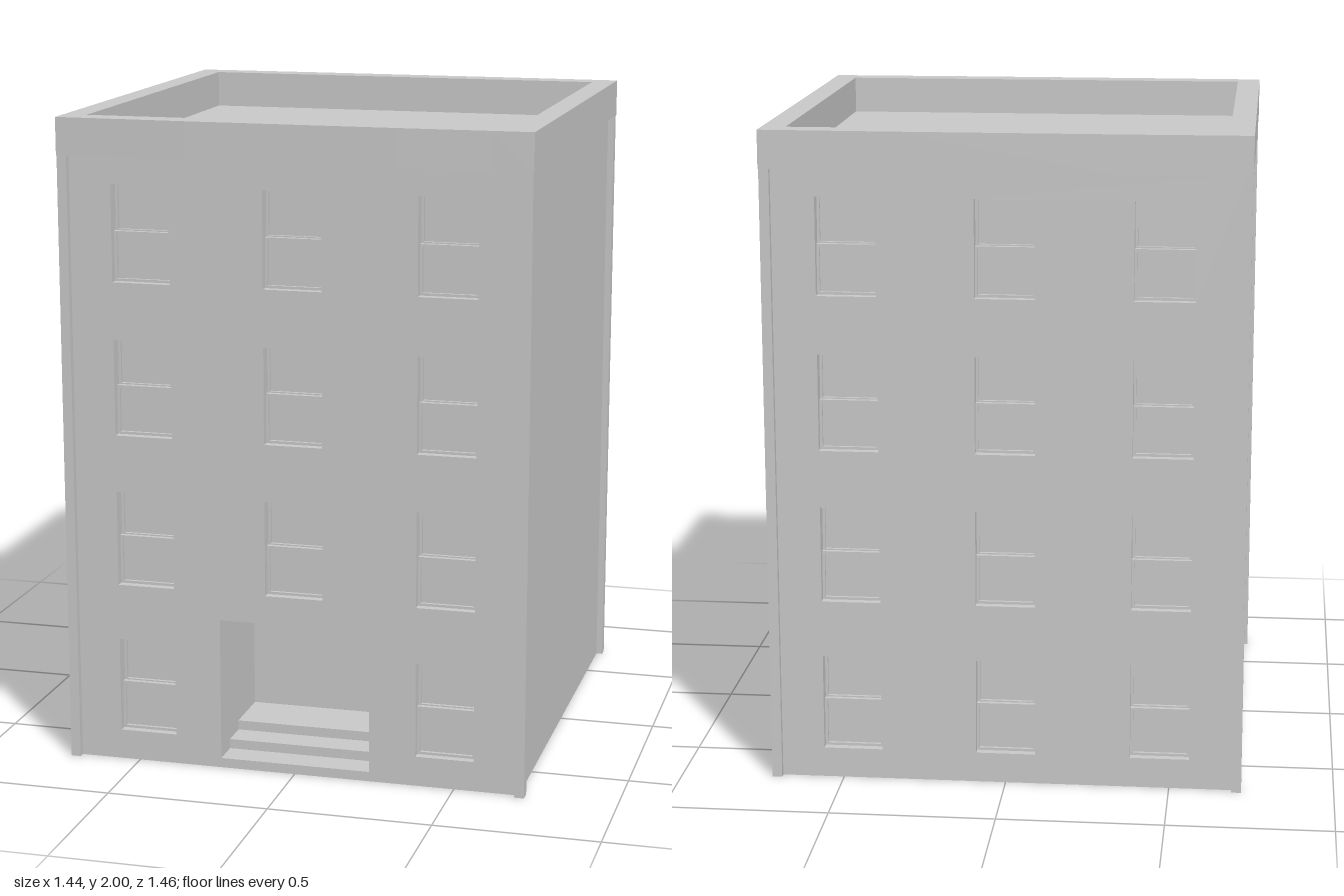
import * as THREE from 'three';

const mat = new THREE.MeshStandardMaterial({ color: 0xcccccc, flatShading: true });

const WALL_TOP = 1.885, HALF_X = 0.70, HALF_Z = 0.705;
const FACADE = 0.06;             // thickness of the windowed wall
const DOOR = { w: 0.47, y0: 0.03, y1: 0.475, depth: 0.36 };
const WIN = { w: 0.18, h: 0.296 };
const COLUMNS = [-0.47, 0, 0.47];
const ROWS = [0.093, 0.563, 1.035, 1.507];

function mesh(name, geometry, parent) {
  const m = new THREE.Mesh(geometry, mat);
  m.name = name;
  parent.add(m);
  return m;
}

// Box given by its lower and upper corners
function block(name, parent, x0, x1, y0, y1, z0, z1) {
  const m = mesh(name, new THREE.BoxGeometry(x1 - x0, y1 - y0, z1 - z0), parent);
  m.position.set((x0 + x1) / 2, (y0 + y1) / 2, (z0 + z1) / 2);
  return m;
}

function rect(Type, x0, x1, y0, y1) {
  const s = new Type();
  s.moveTo(x0, y0);
  s.lineTo(x1, y0);
  s.lineTo(x1, y1);
  s.lineTo(x0, y1);
  s.closePath();
  return s;
}

const extrude = (shape, depth) => new THREE.ExtrudeGeometry(shape, { depth, bevelEnabled: false });

const doorHole = () => rect(THREE.Path, -DOOR.w / 2, DOOR.w / 2, DOOR.y0, DOOR.y1);

// One framed sash with its pane; z = 0 is the facade surface
function sash(name, parent, y0, y1, z) {
  const g = new THREE.Group();
  g.name = name;
  const w = WIN.w / 2, t = 0.008;
  const ring = rect(THREE.Shape, -w, w, y0, y1);
  ring.holes.push(rect(THREE.Path, -w + t, w - t, y0 + t, y1 - t));
  mesh('sashFrame', extrude(ring, 0.02), g).position.z = z - 0.02;
  block('pane', g, -w + t, w - t, y0 + t, y1 - t, z - 0.02, z - 0.01);
  parent.add(g);
}

// Facade facing +z with its windows; the front one also has the entrance
function facade(name, hasDoor) {
  const g = new THREE.Group();
  g.name = name;
  const wall = rect(THREE.Shape, -HALF_X, HALF_X, 0, WALL_TOP);
  if (hasDoor) wall.holes.push(doorHole());
  ROWS.forEach((y, row) => COLUMNS.forEach((x) => {
    if (hasDoor && row === 0 && x === 0) return;
    wall.holes.push(rect(THREE.Path, x - WIN.w / 2, x + WIN.w / 2, y, y + WIN.h));
    const win = new THREE.Group();
    win.name = 'window';
    win.position.set(x, y, HALF_Z);
    sash('upperSash', win, WIN.h / 2, WIN.h, -0.04);
    sash('lowerSash', win, 0, WIN.h / 2 + 0.004, -0.025);
    g.add(win);
  }));
  mesh('facadeWall', extrude(wall, FACADE), g).position.z = HALF_Z - FACADE;
  return g;
}

export function createModel() {
  const building = new THREE.Group();
  building.name = 'apartmentBuilding';

  // Front and back walls
  building.add(facade('frontFacade', true));
  const back = facade('backFacade', false);
  back.rotation.y = Math.PI;
  building.add(back);

  // Solid core, with the entrance recess cut into its front part
  const recessBack = HALF_Z - DOOR.depth, facadeBack = HALF_Z - FACADE;
  block('core', building, -HALF_X, HALF_X, 0, WALL_TOP, -facadeBack, recessBack);
  const vestibule = rect(THREE.Shape, -HALF_X, HALF_X, 0, WALL_TOP);
  vestibule.holes.push(doorHole());
  mesh('vestibule', extrude(vestibule, facadeBack - recessBack), building).position.z = recessBack;

  // Entrance steps
  for (let i = 1; i <= 2; i++) {
    block('entranceStep', building, -DOOR.w / 2, DOOR.w / 2,
      0.03 * i, 0.03 * (i + 1), recessBack, HALF_Z - 0.09 * i);
  }

  // Corner posts
  for (const sx of [-1, 1]) for (const sz of [-1, 1]) {
    const post = block('cornerPost', building, -0.015, 0.015, 0, WALL_TOP, -0.0175, 0.0175);
    post.position.x = sx * 0.705;
    post.position.z = sz * 0.7075;
  }

  // Parapet ring, its front and back very slightly bowed
  const bow = [[-0.722, 0.7245], [-0.6, 0.726], [-0.32, 0.730], [0.32, 0.730], [0.6, 0.726], [0.722, 0.7245]];
  const outline = new THREE.Shape([
    ...bow.map(([x, z]) => new THREE.Vector2(x, -z)),
    ...bow.map(([x, z]) => new THREE.Vector2(-x, z)),
  ]);
  outline.holes.push(rect(THREE.Path, -0.65, 0.65, -0.65, 0.65));
  const parapet = mesh('parapet', extrude(outline, 2 - WALL_TOP), building);
  parapet.rotation.x = -Math.PI / 2;
  parapet.position.y = WALL_TOP;

  return building;
}
